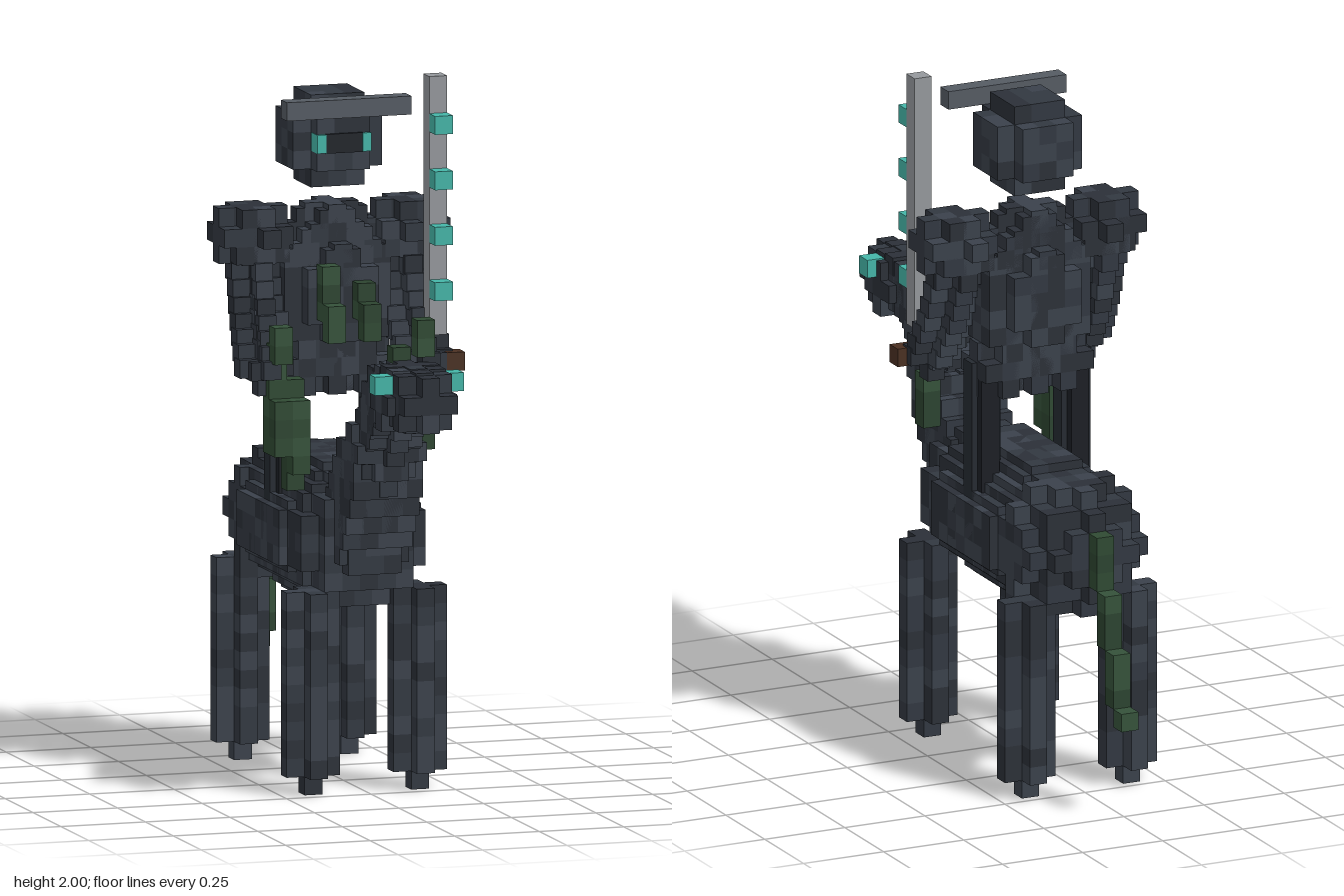
import * as THREE from 'three';
import { mergeGeometries } from 'three/addons/utils/BufferGeometryUtils.js';

const V = 2 / 38; // edge of one cube
const DARK = [0x2b3038, 0x323841, 0x3a414b];
const BLACK = [0x1b1e24, 0x20242a, 0x252a31];
const GREEN = [0x2f4a33, 0x35523a, 0x2c4430];
const TEAL = [0x45b5a8];

// Cubes gathered by shade and merged into one mesh per shade
function voxels(name, centres, shades) {
  const group = new THREE.Group();
  group.name = name;
  const buckets = shades.map(() => []);
  centres.forEach(([x, y, z], n) => {
    const k = Math.abs(Math.floor(Math.sin(n * 12.9 + x * 78.2 + y * 37.7 + z * 51.3) * 43758)) % shades.length;
    buckets[k].push(new THREE.BoxGeometry(V, V, V).translate(x, y, z));
  });
  buckets.forEach((list, k) => {
    if (!list.length) return;
    const mesh = new THREE.Mesh(mergeGeometries(list), new THREE.MeshStandardMaterial({ color: shades[k] }));
    mesh.name = name + 'Shade' + (k + 1);
    group.add(mesh);
  });
  return group;
}

// Shell of a stepped ellipsoid; radii are counted in cubes
function blob(cx, cy, cz, rx, ry = rx, rz = rx) {
  const inside = (i, j, k) => (i / rx) ** 2 + (j / ry) ** 2 + (k / rz) ** 2 <= 1;
  const out = [];
  for (let i = -Math.floor(rx); i <= rx; i++)
    for (let j = -Math.floor(ry); j <= ry; j++)
      for (let k = -Math.floor(rz); k <= rz; k++) {
        if (!inside(i, j, k)) continue;
        const buried = inside(i + 1, j, k) && inside(i - 1, j, k) && inside(i, j + 1, k) &&
          inside(i, j - 1, k) && inside(i, j, k + 1) && inside(i, j, k - 1);
        if (!buried) out.push([cx + i * V, cy + j * V, cz + k * V]);
      }
  return out;
}

// Stepped balls strung along a path of points
function sweep(points, r0, r1, steps) {
  const curve = new THREE.CatmullRomCurve3(points.map(p => new THREE.Vector3(...p)));
  const out = [];
  for (let i = 0; i <= steps; i++) {
    const p = curve.getPoint(i / steps);
    out.push(...blob(p.x, p.y, p.z, r0 + (r1 - r0) * i / steps));
  }
  return out;
}

// Upright run of cubes, in grid steps: column x, z and rows y0 up to y1
function column(x, z, y0, y1) {
  const out = [];
  for (let y = y0; y < y1; y++) out.push([x * V, (y + 0.5) * V, z * V]);
  return out;
}

function box(name, w, h, d, x, y, z, color) {
  const mesh = new THREE.Mesh(new THREE.BoxGeometry(w, h, d), new THREE.MeshStandardMaterial({ color }));
  mesh.position.set(x, y, z);
  mesh.name = name;
  return mesh;
}

export function createModel() {
  const model = new THREE.Group();
  model.name = 'riderOnHorse';
  const add = (...parts) => model.add(...parts);

  // Horse barrel: chest, rump and a fuller middle
  const barrel = [...blob(0, 0.71, 0.1, 3.5), ...blob(0, 0.71, -0.395, 3.62)];
  for (const z of [-0.02, -0.13, -0.24])
    for (const [x, y] of [[-0.026, 0.71], [0.026, 0.71], [0, 0.69], [0, 0.735]])
      barrel.push(...blob(x, y, z, 3.5));
  add(voxels('horseBody', barrel, DARK));

  // Horse legs with cross-shaped section and a single-cube hoof
  for (const x of [-3, 3])
    for (const z of [3.5, -8.5]) {
      const leg = column(x, z, 0, 11);
      for (const [dx, dz] of [[1, 0], [-1, 0], [0, 1], [0, -1]]) leg.push(...column(x + dx, z + dz, 1, 11));
      add(voxels('horseLeg', leg, DARK));
    }

  // Neck and head
  const neck = [];
  for (const x of [-0.024, 0.024])
    neck.push(...sweep([[x, 0.74, 0.2], [x, 0.86, 0.275], [x, 1.0, 0.36]], 1.95, 1.7, 5));
  neck.push(...sweep([[0, 0.95, 0.33], [0, 1.07, 0.41], [0, 1.17, 0.49]], 1.7, 1.6, 5));
  add(voxels('horseNeck', neck, DARK));
  const head = [...sweep([[0, 1.18, 0.48], [0, 1.2, 0.6], [0, 1.19, 0.71]], 1.6, 1.45, 4),
    ...blob(-0.024, 1.18, 0.63, 1.5), ...blob(0.024, 1.18, 0.63, 1.5)];
  add(voxels('horseHead', head, DARK));
  add(voxels('horseEyes', [[-0.105, 1.237, 0.658], [0.105, 1.237, 0.658]], TEAL));
  add(voxels('forelock', [[0, 1.29, 0.5]], GREEN));

  // Tail stepping down and back
  add(voxels('tail', [...column(0, -11.5, 12, 15), ...column(0, -12.5, 9, 12),
    ...column(0, -13.5, 6, 9), ...column(0, -14.5, 5, 6)], GREEN));

  // Rider torso and hips
  add(voxels('riderTorso', [...blob(-0.026, 1.38, -0.13, 2.9, 4.6, 2.3), ...blob(0.026, 1.38, -0.13, 2.9, 4.6, 2.3),
    ...blob(0, 1.5, -0.13, 2.5, 2.5, 2)], DARK));
  add(voxels('riderHips', [-0.09, 0, 0.09].flatMap(x => blob(x, 1.17, -0.13, 1.45)), DARK));

  for (const s of [-1, 1]) {
    // Rider legs
    add(box('riderLeg', 0.055, 0.44, 0.11, s * 0.14, 0.97, -0.125, BLACK[0]));
    add(box('riderLegSide', 0.09, 0.44, 0.055, s * 0.14, 0.97, -0.125, BLACK[2]));
    // Shoulders, arms and hands
    add(voxels('shoulder', [...blob(s * 0.255, 1.55, -0.13, 1.5), ...blob(s * 0.21, 1.55, -0.13, 1.5, 1.5, 2.3)], DARK));
    add(voxels('arm', sweep([[s * 0.22, 1.5, -0.13], [s * 0.225, 1.33, -0.08], [s * 0.235, 1.19, 0.0]], 1.42, 1.1, 7), DARK));
    add(voxels('hand', [[s * 5 * V, 1.185, 0.026], [s * 4.5 * V, 1.185, 0.02]], DARK));
  }

  // Rider head with eyes, visor and brim
  add(voxels('riderHead', blob(0, 1.816, -0.13, 2.75), DARK));
  add(box('visor', 0.11, 0.055, 0.03, 0, 1.816, -0.005, BLACK[1]));
  for (const s of [-1, 1]) add(box('riderEye', 0.026, V, V, s * 0.067, 1.816, -0.015, TEAL[0]));
  add(box('hatBrim', 7 * V, V, V, 0, 36.5 * V, V / 2, 0x555b63));

  // Sword with studs along its edge
  add(box('blade', V, 14 * V, V, 5 * V, 31 * V, V / 2, 0x95989c));
  add(voxels('bladeStuds', [26, 29, 32, 35].map(y => [5 * V, (y + 0.5) * V, 1.5 * V]), TEAL));
  add(box('hilt', V, V, V, 6 * V, 22.5 * V, V / 2, 0x4a3022));

  // Hanging vines on the chest, hands and flanks
  add(voxels('chestVines', [...column(-1, 1.5, 24, 26), ...column(-1, 0.5, 25, 28),
    ...column(1, 1.5, 24, 26), ...column(1, 0.5, 25, 27)], GREEN));
  add(voxels('armVines', [...column(-4, 1.5, 23, 25), ...column(-4, 0.5, 22, 24), ...column(4, 1.5, 23, 25)], GREEN));
  add(voxels('hangingVines', [...column(-4, 1.5, 18, 21), ...column(-4, 0.5, 18, 22),
    ...column(-3, 1.5, 17, 21), ...column(-3, 0.5, 16, 22), ...column(4, 1.5, 18, 21)], GREEN));

  return model;
}
